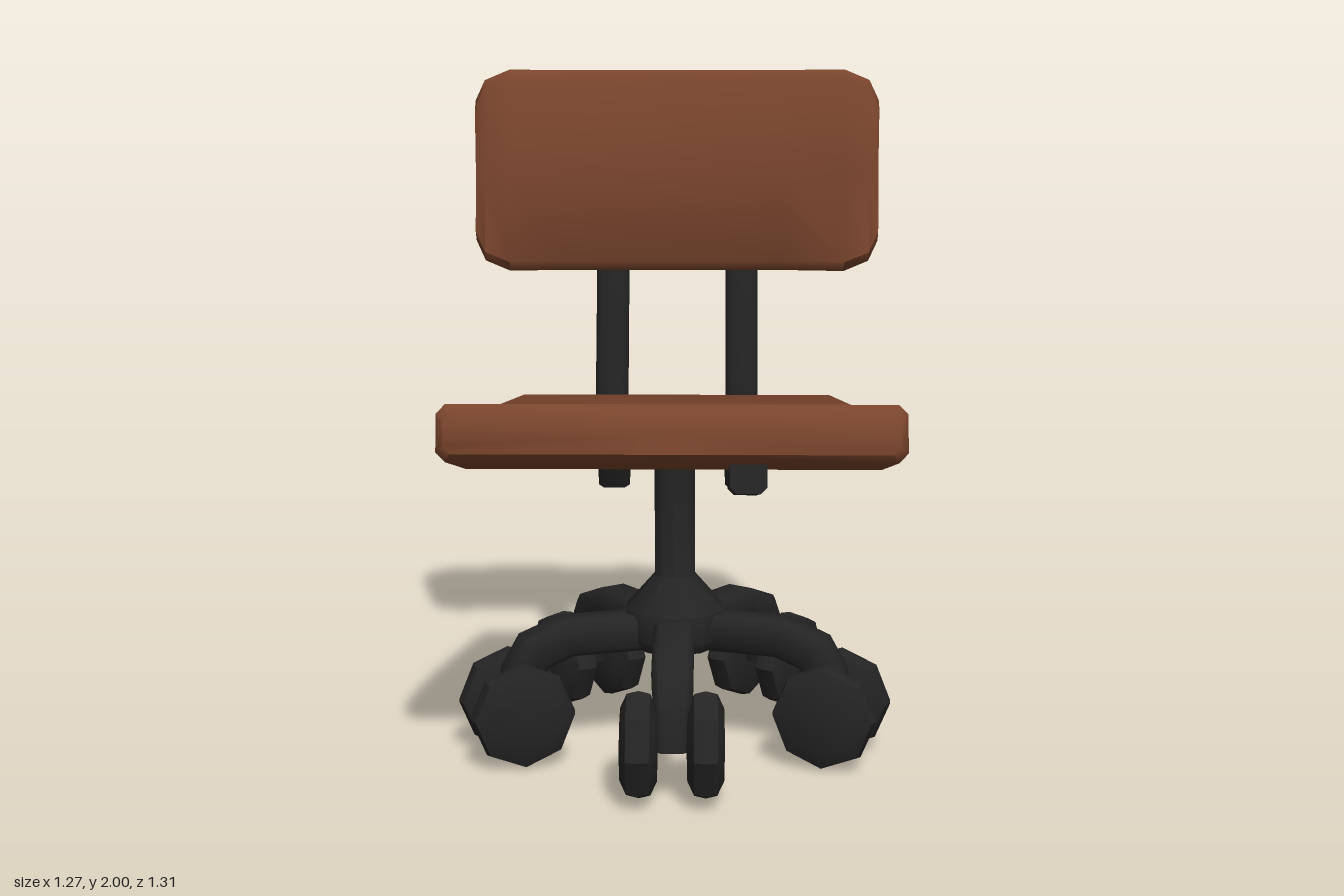
import * as THREE from 'three';
import { toCreasedNormals } from 'three/addons/utils/BufferGeometryUtils.js';

const fabric = new THREE.MeshStandardMaterial({ color: 0x7a452d });
fabric.name = 'brown fabric';
const plastic = new THREE.MeshStandardMaterial({ color: 0x242424 });
plastic.name = 'black plastic';

// Chamfered rectangle with a middle point on the two sides of extent a
function chamferRect(a, b, c) {
  return [[a, b - c], [a - c, b], [0, b], [c - a, b], [-a, b - c],
    [-a, c - b], [c - a, -b], [0, -b], [a - c, -b], [a, c - b]];
}

// Closed solid through a list of equal-length loops of [x, y, z]
function loft(loops) {
  const n = loops[0].length;
  const pts = loops.flat();
  const centre = (loop) => [0, 1, 2].map((k) => loop.reduce((s, p) => s + p[k], 0) / n);
  const first = pts.push(centre(loops[0])) - 1;
  const last = pts.push(centre(loops[loops.length - 1])) - 1;
  const end = (loops.length - 1) * n;
  const tris = [];
  for (let j = 0; j < n; j++) {
    const k = (j + 1) % n;
    for (let i = 0; i < end; i += n) {
      tris.push([i + j, i + k, i + n + k], [i + j, i + n + k, i + n + j]);
    }
    tris.push([first, k, j], [last, end + j, end + k]);
  }
  // Turn the faces outward if the loops ran the other way
  const v = pts.map((p) => new THREE.Vector3(...p));
  const volume = tris.reduce((s, [a, b, c]) => s + v[a].dot(v[b].clone().cross(v[c])), 0);
  if (volume < 0) tris.forEach((t) => t.reverse());
  const geo = new THREE.BufferGeometry().setFromPoints(v);
  geo.setIndex(tris.flat());
  return toCreasedNormals(geo, 0.9);
}

// Bar swept along [z, y, halfWidth] points in the upright plane, with mitred bends
function bar(path, halfDepth, chamfer) {
  const dir = (a, b) => new THREE.Vector2(b[0] - a[0], b[1] - a[1]).normalize();
  return loft(path.map((p, i) => {
    const before = dir(path[Math.max(i - 1, 0)], path[Math.max(i, 1)]);
    const after = i < path.length - 1 ? dir(p, path[i + 1]) : before;
    const t = before.clone().add(after).normalize();
    const mitre = 1 / t.dot(after);
    return chamferRect(p[2], halfDepth, chamfer).map(([a, b]) =>
      [a, p[1] + t.x * b * mitre, p[0] - t.y * b * mitre]);
  }));
}

function add(parent, name, geometry, material, x = 0, y = 0, z = 0) {
  const mesh = new THREE.Mesh(geometry, material);
  mesh.name = name;
  mesh.position.set(x, y, z);
  parent.add(mesh);
  return mesh;
}

export function createModel() {
  const chair = new THREE.Group();
  chair.name = 'officeChair';

  // Seat: sections from front to back [z, centre y, half width, half height, chamfer]
  const seat = [
    [0.607, 1.03, 0.6, 0.05, 0.02], [0.58, 1.03, 0.62, 0.075, 0.025],
    [0.29, 0.967, 0.605, 0.086, 0.025], [0, 0.922, 0.57, 0.084, 0.025],
    [-0.325, 0.917, 0.5, 0.083, 0.025], [-0.345, 0.917, 0.485, 0.065, 0.02],
  ];
  add(chair, 'seat', loft(seat.map(([z, yc, w, h, c]) =>
    chamferRect(w, h, c).map(([a, b]) => [a, yc + b, z - b * Math.max(0, z) * 0.35]))), fabric);

  // Backrest: sections across x [x, half height, half depth], curled at the sides and bottom
  const half = [[0.62, 0.215, 0.05], [0.59, 0.275, 0.068], [0.515, 0.307, 0.075], [0.34, 0.307, 0.075]];
  const back = [...half.map(([x, h, d]) => [-x, h, d]), ...half.slice().reverse()];
  add(chair, 'backrest', loft(back.map(([x, h, d]) => {
    const zc = -0.475 + 0.22 * Math.max(0, Math.abs(x) - 0.34);
    return chamferRect(h, d, 0.028).map(([a, b]) =>
      [x, 1.692 + a, zc + b + 0.16 * Math.max(0, -a)]);
  })), fabric);

  // Two bent struts behind the seat
  const strutPath = [[-0.527, 0.695], [-0.41, 0.91], [-0.402, 1.02], [-0.575, 1.6],
    [-0.602, 1.74], [-0.602, 1.865]].map(([z, y]) => [z, y, 0.05]);
  for (const side of [-1, 1]) {
    add(chair, side > 0 ? 'leftBackStrut' : 'rightBackStrut', bar(strutPath, 0.048, 0.017), plastic, side * 0.204);
  }

  // Single bar under the seat
  const seatPath = [[0.53, 0.907], [0.16, 0.828], [0.04, 0.812], [-0.39, 0.812]].map(([z, y]) => [z, y, 0.05]);
  add(chair, 'seatBar', bar(seatPath, 0.047, 0.017), plastic, 0.204);

  // Star base
  const base = new THREE.Group();
  base.name = 'base';
  base.position.z = 0.02;
  chair.add(base);

  // Column flaring into the hub
  const profile = [[0, 0.3], [0.13, 0.3], [0.15, 0.33], [0.15, 0.415], [0.062, 0.515], [0.062, 0.86], [0, 0.86]];
  const column = new THREE.LatheGeometry(profile.map(([r, y]) => new THREE.Vector2(r, y)), 10);
  add(base, 'column', toCreasedNormals(column, 0.7), plastic);

  // Shared leg and wheel shapes
  const leg = bar([[0.02, 0.353, 0.058], [0.33, 0.353, 0.058], [0.43, 0.315, 0.058],
    [0.47, 0.25, 0.052], [0.48, 0.14, 0.046]], 0.053, 0.017);
  const wheelProfile = [[0, -0.053], [0.105, -0.05], [0.145, -0.032], [0.153, 0], [0.145, 0.032], [0.105, 0.05], [0, 0.053]];
  const wheel = toCreasedNormals(
    new THREE.LatheGeometry(wheelProfile.map(([r, y]) => new THREE.Vector2(r, y)), 8).rotateZ(Math.PI / 2), 0.7);

  // Five legs, each with a pair of wheels
  for (let i = 0; i < 5; i++) {
    const arm = new THREE.Group();
    arm.name = 'leg' + (i + 1);
    arm.rotation.y = (i * Math.PI * 2) / 5;
    add(arm, 'legBar', leg, plastic);
    for (const side of [-1, 1]) add(arm, 'wheel', wheel, plastic, side * 0.092, 0.153, 0.484);
    base.add(arm);
  }
  return chair;
}
